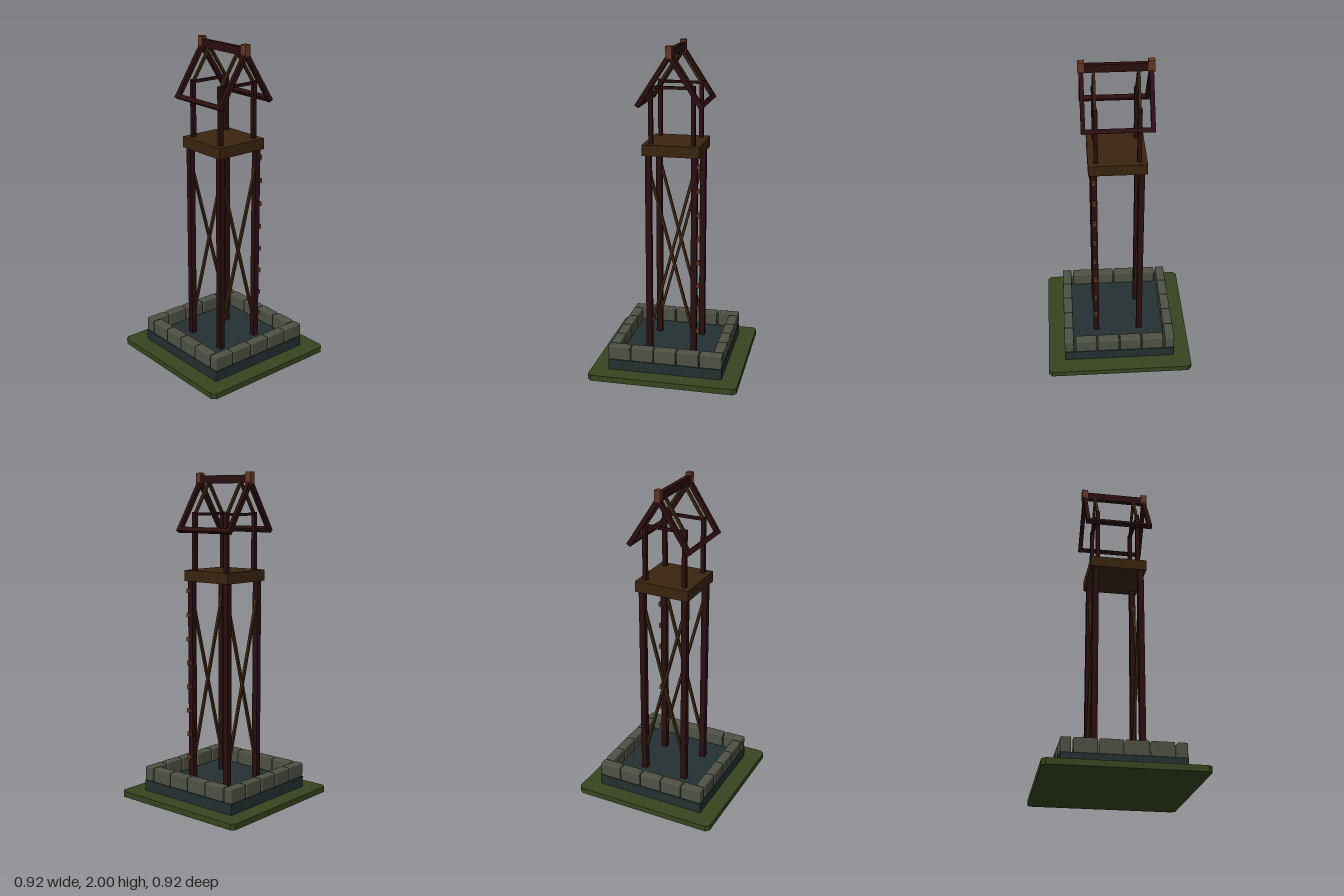
import * as THREE from 'three';
import { RoundedBoxGeometry } from 'three/addons/geometries/RoundedBoxGeometry.js';

const material = (name, color) => Object.assign(new THREE.MeshStandardMaterial({ color }), { name });

export function createModel() {
  const grass = material('grass', 0x37441f);
  const slab = material('dark slab', 0x233031);
  const stone = material('stone', 0x4e5143);
  const timber = material('dark timber', 0x2a0e0e);
  const plank = material('plank', 0x3a240f);
  const peg = material('peg', 0x653624);

  const model = new THREE.Group();
  model.name = 'watchtower';

  const add = (name, geometry, mat, x = 0, y = 0, z = 0) => {
    const mesh = new THREE.Mesh(geometry, mat);
    mesh.name = name;
    mesh.position.set(x, y, z);
    model.add(mesh);
    return mesh;
  };
  const box = (name, mat, w, h, d, x, y, z) => add(name, new THREE.BoxGeometry(w, h, d), mat, x, y, z);
  // Beam lying in an x-y plane at depth z, between two points
  const beam = (name, mat, [x1, y1], [x2, y2], z, thick, depth) => {
    const length = Math.hypot(x2 - x1, y2 - y1);
    const mesh = box(name, mat, thick, length, depth, (x1 + x2) / 2, (y1 + y2) / 2, z);
    mesh.rotation.z = Math.atan2(y2 - y1, x2 - x1) - Math.PI / 2;
    return mesh;
  };

  // Grass plate with clipped corners
  const e = 0.458, c = 0.436;
  const outline = new THREE.Shape(
    [[c, -e], [e, -c], [e, c], [c, e], [-c, e], [-e, c], [-e, -c], [-c, -e]].map(p => new THREE.Vector2(...p)));
  const ground = new THREE.ExtrudeGeometry(outline, { depth: 0.036, bevelEnabled: false });
  ground.rotateX(-Math.PI / 2);
  add('grassPlate', ground, grass);

  // Foundation and ring of kerb stones
  box('foundation', slab, 0.704, 0.066, 0.704, 0, 0.069, 0);
  const rowStone = new RoundedBoxGeometry(0.135, 0.09, 0.059, 2, 0.008);
  const sideStone = new RoundedBoxGeometry(0.059, 0.09, 0.135, 2, 0.008);
  for (const s of [-1, 1]) {
    for (let i = -2; i <= 2; i++) add('kerbStone', rowStone, stone, i * 0.142, 0.146, s * 0.3225);
    for (let i = -1.5; i <= 1.5; i++) add('kerbStone', sideStone, stone, s * 0.3225, 0.146, i * 0.142);
  }

  // Legs and upper posts
  for (const sx of [-1, 1]) for (const sz of [-1, 1]) {
    box('leg', timber, 0.036, 1.26, 0.036, sx * 0.14, 0.73, sz * 0.14);
    box('roofPost', timber, 0.025, 0.355, 0.025, sx * 0.128, 1.587, sz * 0.126);
  }

  // Cross braces on front and back
  for (const sz of [-1, 1]) for (const sx of [-1, 1]) {
    beam('crossBrace', plank, [-sx * 0.135, 0.23], [sx * 0.135, 1.25], sz * 0.14 + sx * 0.004, 0.016, 0.016);
  }

  // Climbing pegs on the front left leg
  for (let i = 0; i < 8; i++) box('climbingPeg', peg, 0.03, 0.026, 0.024, 0.162, 0.25 + i * 0.149, 0.142);

  // Platform
  box('platform', plank, 0.346, 0.067, 0.346, 0, 1.383, 0);

  // Roof frame: gables, thin inner rafters, ties and finials
  const apex = [0, 1.945];
  for (const sz of [-1, 1]) {
    for (const sx of [-1, 1]) {
      beam('gableRafter', timber, [sx * 0.193, 1.648], apex, sz * 0.196, 0.028, 0.025);
      beam('innerRafter', plank, [sx * 0.128, 1.748], apex, sz * 0.126, 0.016, 0.016);
    }
    box('tieBeam', timber, 0.25, 0.017, 0.018, 0, 1.752, sz * 0.126);
    box('ridgeFinial', peg, 0.036, 0.07, 0.038, 0, 1.965, sz * 0.196);
  }
  for (const sx of [-1, 1]) {
    const eave = box('eaveBeam', timber, 0.027, 0.027, 0.41, sx * 0.185, 1.66, 0);
    eave.rotation.z = sx * 0.576;
  }
  box('ridgeBeam', timber, 0.028, 0.048, 0.4, 0, 1.959, 0);

  return model;
}
